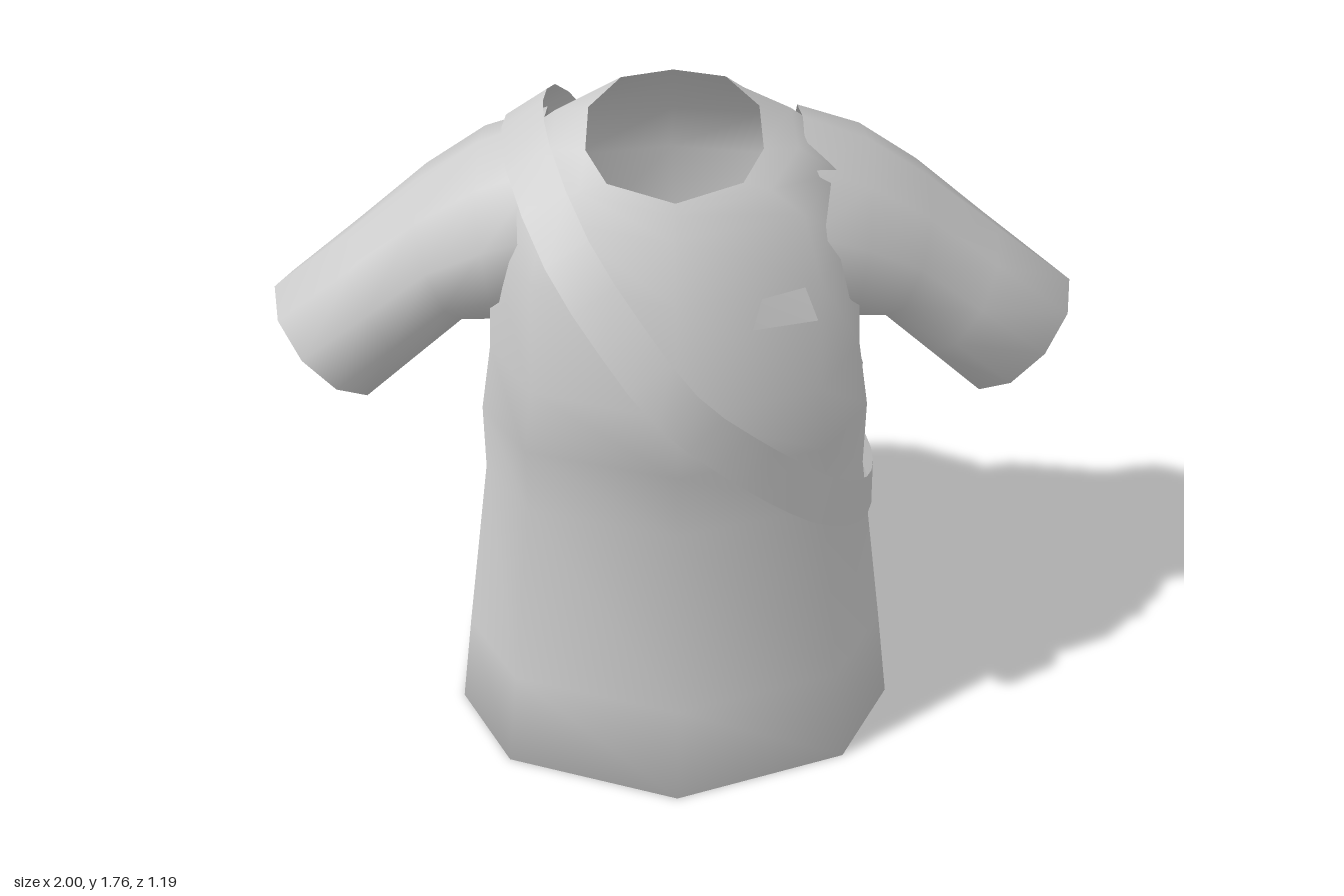
import * as THREE from 'three';

const material = new THREE.MeshStandardMaterial({ color: 0xcccccc, side: THREE.DoubleSide });

// Skins a list of equally long point rings; vertices are shared so shading is smooth.
function loft(name, rings, closed = true) {
  const n = rings[0].length;
  const positions = rings.flat(2);
  const index = [];
  for (let i = 0; i < rings.length - 1; i++) {
    for (let j = 0; j < (closed ? n : n - 1); j++) {
      const k = (j + 1) % n;
      const a = i * n + j, b = i * n + k, c = a + n, d = b + n;
      index.push(a, b, c, b, d, c);
    }
  }
  const geometry = new THREE.BufferGeometry();
  geometry.setAttribute('position', new THREE.Float32BufferAttribute(positions, 3));
  geometry.setIndex(index);
  geometry.computeVertexNormals();
  const mesh = new THREE.Mesh(geometry, material);
  mesh.name = name;
  return mesh;
}

// Ten-sided torso outline, front to back, mirrored in x.
const half = [[0, 1], [0.76, 0.72], [1, 0.25], [0.97, -0.4], [0.6, -0.88], [0, -1]];
const outline = [...half, ...half.slice(1, -1).reverse().map(([x, z]) => [-x, z])];

// Torso ring: half width, front z, back z, then y at front, side and back.
function torsoRing([w, zf, zb, yf, ys = yf, yb = yf]) {
  const mid = (zf + zb) / 2, depth = (zf - zb) / 2;
  return outline.map(([x, z]) => [
    x * w,
    ys + (z > 0 ? yf - ys : yb - ys) * Math.abs(z),
    mid + z * depth,
  ]);
}

function makeTorso() {
  return loft('shirtBody', [
    [0.49, 0.50, -0.31, 0.10], // hem turned inwards
    [0.588, 0.60, -0.39, 0],
    [0.55, 0.553, -0.35, 0.28],
    [0.475, 0.46, -0.27, 0.80],
    [0.47, 0.48, -0.26, 1.0],
    [0.44, 0.49, -0.29, 1.18],
    [0.43, 0.39, -0.33, 1.42],
    [0.38, 0.30, -0.27, 1.53, 1.60, 1.56],
    [0.28, 0.26, -0.17, 1.575, 1.68, 1.68],
    [0.20, 0.24, -0.07, 1.595, 1.69, 1.765], // neckline
  ].map(torsoRing));
}

// Sleeve ring: top x, y, bottom x, y, front z, back z.
function makeSleeve(name, side) {
  const sections = [
    [0.30, 1.66, 0.30, 1.16, 0.22, -0.29],
    [0.46, 1.59, 0.42, 1.15, 0.21, -0.32],
    [0.62, 1.47, 0.51, 1.13, 0.16, -0.325],
    [0.80, 1.325, 0.63, 1.01, 0.135, -0.30],
    [1.00, 1.17, 0.76, 0.88, 0.11, -0.27],
    [0.95, 1.15, 0.765, 0.93, 0.08, -0.23], // cuff turned inwards
  ];
  const sides = 10;
  return loft(name, sections.map(([tx, ty, bx, by, zf, zb]) =>
    Array.from({ length: sides }, (_, j) => {
      const t = (j / sides) * Math.PI * 2, c = Math.cos(t) / 2;
      return [
        side * ((tx + bx) / 2 + (tx - bx) * c),
        (ty + by) / 2 + (ty - by) * c,
        (zf + zb) / 2 + side * Math.sin(t) * (zf - zb) / 2,
      ];
    })));
}

// Soft tilted bag: one rounded outline scaled through its thickness.
function makeBag() {
  const shape = [
    [0.52, 0.80], [0.43, 0.95], [0.16, 1.07], [-0.04, 1.14], [-0.16, 1.09], [-0.32, 0.79],
    [-0.38, 0.62], [-0.32, 0.46], [-0.04, 0.23], [0.12, 0.18], [0.29, 0.25], [0.43, 0.50],
  ];
  const cx = 0.07, cy = 0.66;
  const layers = [
    [-0.185, 0], [-0.18, 0.45], [-0.145, 0.8], [-0.06, 0.98],
    [0.04, 1], [0.13, 0.82], [0.17, 0.5], [0.17, 0],
  ];
  return loft('bag', layers.map(([offset, s]) => shape.map(([x, y]) => {
    const px = cx + (x - cx) * s;
    return [px, cy + (y - cy) * s, -0.385 + 0.22 * px + offset];
  })));
}

// Flat ribbon from the bag over the right shoulder, across the chest to the left hip.
function makeStrap() {
  const path = new THREE.CatmullRomCurve3([
    [-0.10, 1.12, -0.37], [-0.20, 1.35, -0.345], [-0.27, 1.52, -0.29], [-0.33, 1.64, -0.18],
    [-0.35, 1.67, -0.04], [-0.33, 1.645, 0.12], [-0.24, 1.52, 0.33], [-0.12, 1.37, 0.45],
    [0.0, 1.22, 0.51], [0.13, 1.09, 0.50], [0.24, 0.98, 0.465], [0.35, 0.87, 0.41],
    [0.44, 0.77, 0.31], [0.50, 0.69, 0.18], [0.53, 0.62, 0.0], [0.52, 0.58, -0.16],
  ].map(p => new THREE.Vector3(...p)));
  const rings = [];
  const steps = 30;
  for (let i = 0; i <= steps; i++) {
    const p = path.getPoint(i / steps);
    const out = new THREE.Vector3(p.x, p.y - Math.min(p.y, 1.15), p.z - 0.08);
    const across = path.getTangent(i / steps).cross(out).setLength(0.06);
    rings.push([p.clone().add(across).toArray(), p.clone().sub(across).toArray()]);
  }
  return loft('shoulderStrap', rings, false);
}

// Small trapezoid patch on the left chest.
function makePatch() {
  return loft('chestPatch', [
    [[0.17, 1.36, 0.395], [0.32, 1.35, 0.345]],
    [[0.19, 1.42, 0.36], [0.29, 1.42, 0.315]],
  ], false);
}

export function createModel() {
  const group = new THREE.Group();
  group.name = 'shirtWithBag';
  group.add(
    makeTorso(),
    makeSleeve('leftSleeve', 1),
    makeSleeve('rightSleeve', -1),
    makeBag(),
    makeStrap(),
    makePatch(),
  );
  return group;
}
